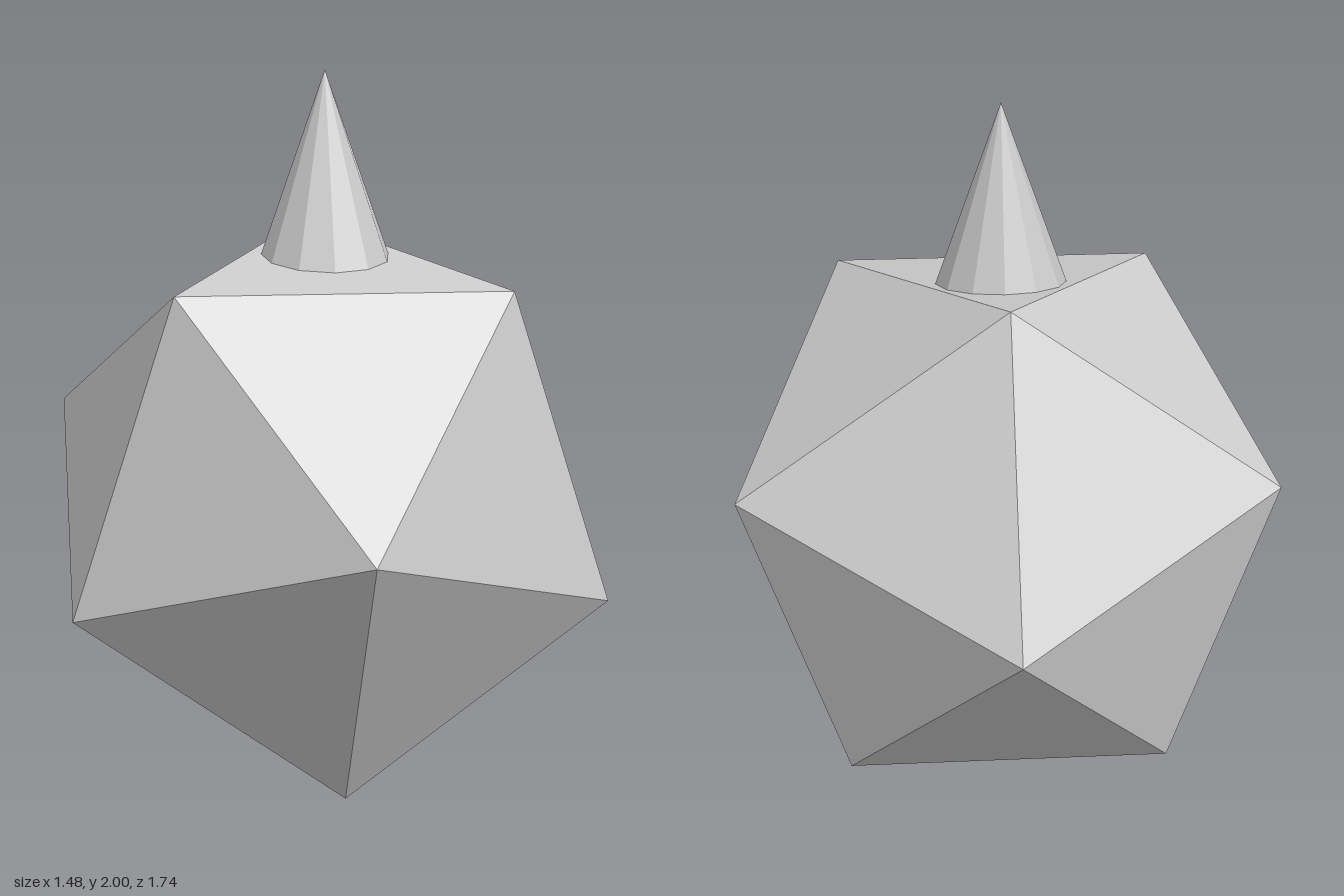
import * as THREE from 'three';

export function createModel() {
  const model = new THREE.Group();
  const material = new THREE.MeshStandardMaterial({ color: 0xcccccc, flatShading: true });

  // Body: icosahedron turned so that one corner points straight forward
  const radius = 0.872;
  const golden = (1 + Math.sqrt(5)) / 2;
  const bodyGeometry = new THREE.IcosahedronGeometry(radius, 0);
  bodyGeometry.rotateX(Math.atan(1 / golden));
  const body = new THREE.Mesh(bodyGeometry, material);
  body.name = 'body';
  body.position.y = radius * 2 / Math.sqrt(5);
  model.add(body);

  // Spike: twelve-sided cone sunk into the sloping top face
  const height = 0.68;
  const spike = new THREE.Mesh(new THREE.ConeGeometry(height * 0.355, height, 12), material);
  spike.name = 'spike';
  spike.position.y = 2 - height / 2;
  model.add(spike);

  return model;
}
